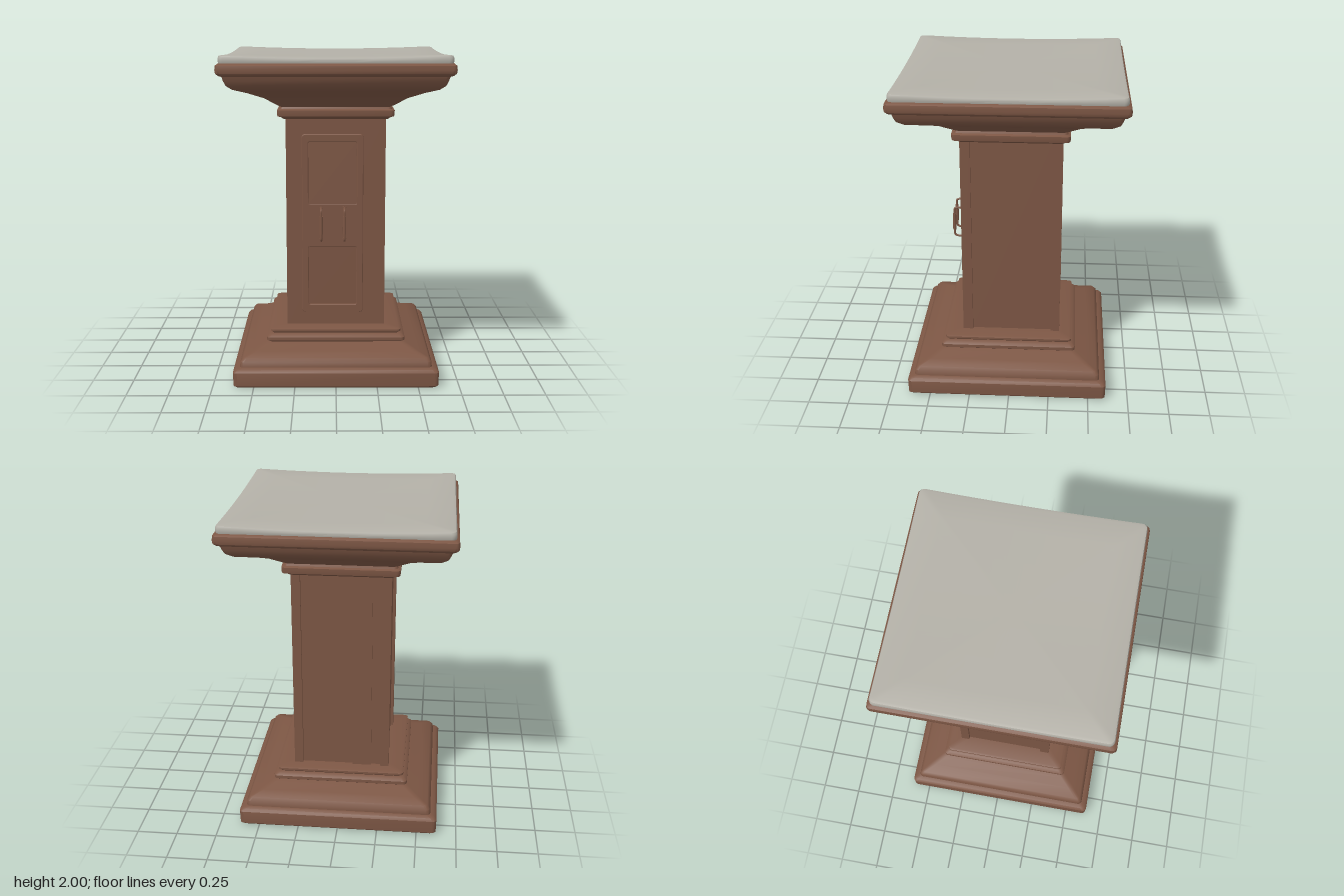
import * as THREE from 'three';
import { toCreasedNormals } from 'three/addons/utils/BufferGeometryUtils.js';

const wood = new THREE.MeshStandardMaterial({ color: 0x7c5644 });
wood.name = 'brown wood';
const stone = new THREE.MeshStandardMaterial({ color: 0xb3b0a7 });
stone.name = 'pale stone';

// Outline of a rounded square, counter-clockwise seen from above
function ring(half, radius, perSide) {
  const r = Math.min(radius, half * 0.5), pts = [];
  for (let s = 0; s < 4; s++) {
    const a0 = s * Math.PI / 2, c = Math.cos(a0), d = Math.sin(a0);
    const put = (u, v) => pts.push([u * c - v * d, -(u * d + v * c)]);
    for (let i = 0; i < perSide; i++) put(half, (half - r) * (-1 + 2 * i / perSide));
    for (let i = 0; i <= 4; i++) {
      const a = i * Math.PI / 8;
      put(half - r + r * Math.cos(a), half - r + r * Math.sin(a));
    }
  }
  return pts;
}

// Square moulding swept through a [half width, height] profile
function moulding(profile, radius = 0.025, perSide = 1, rule = null) {
  const pos = [], idx = [];
  const rings = profile.map(([h]) => ring(h, radius, perSide));
  const n = rings[0].length;
  rings.forEach((pts, j) => pts.forEach(([x, z]) => {
    const y = profile[j][1];
    pos.push(x, rule ? rule(x, y, z) : y, z);
  }));
  for (let j = 0; j < rings.length - 1; j++) {
    for (let i = 0; i < n; i++) {
      const k = (i + 1) % n, a = j * n + i, b = j * n + k;
      idx.push(a, b, b + n, a, b + n, a + n);
    }
  }
  const g = new THREE.BufferGeometry();
  g.setAttribute('position', new THREE.Float32BufferAttribute(pos, 3));
  g.setIndex(idx);
  return toCreasedNormals(g, 0.7);
}

function roundedRect(target, x0, x1, y0, y1, r) {
  target.moveTo(x0 + r, y0);
  target.lineTo(x1 - r, y0); target.quadraticCurveTo(x1, y0, x1, y0 + r);
  target.lineTo(x1, y1 - r); target.quadraticCurveTo(x1, y1, x1 - r, y1);
  target.lineTo(x0 + r, y1); target.quadraticCurveTo(x0, y1, x0, y1 - r);
  target.lineTo(x0, y0 + r); target.quadraticCurveTo(x0, y0, x0 + r, y0);
  return target;
}

export function createModel() {
  const model = new THREE.Group();
  model.name = 'pedestal';
  const add = (name, geo, mat = wood, parent = model) => {
    const m = new THREE.Mesh(geo, mat);
    m.name = name;
    parent.add(m);
    return m;
  };
  // Box given by its limits
  const block = (name, x0, x1, y0, y1, z0, z1) => {
    const m = add(name, new THREE.BoxGeometry(x1 - x0, y1 - y0, z1 - z0));
    m.position.set((x0 + x1) / 2, (y0 + y1) / 2, (z0 + z1) / 2);
  };

  // Hollow stepped base: up the opening's inner wall and outside mouldings
  add('base', moulding([
    [0.25, 0.3], [0.26, 0.22], [0.29, 0.2], [0.3, 0.1], [0.325, 0.08], [0.335, 0],
    [0.61, 0], [0.623, 0.012], [0.625, 0.095], [0.612, 0.112], [0.585, 0.118],
    [0.582, 0.15], [0.565, 0.172], [0.5, 0.192], [0.44, 0.218], [0.415, 0.226],
    [0.428, 0.235], [0.428, 0.255], [0.41, 0.272], [0.392, 0.275],
    [0.403, 0.285], [0.403, 0.298], [0.39, 0.304], [0.25, 0.304],
  ])).position.z = 0.015;

  // Column: flush front, recessed sides and back between corner posts
  const y0 = 0.29, y1 = 1.62;
  block('columnFront', -0.305, 0.305, y0, y1, 0.25, 0.312);
  for (const s of [-1, 1]) {
    const span = (a, b) => (s > 0 ? [a, b] : [-b, -a]);
    block('backPost', ...span(0.25, 0.305), y0, y1, -0.31, -0.255);
    block('sidePanel', ...span(0.26, 0.287), y0, y1, -0.26, 0.255);
  }
  block('backPanel', -0.255, 0.255, y0, y1, -0.288, -0.255);
  block('backStrip', -0.19, -0.07, y0, y1, -0.303, -0.28);

  // Door with two recessed, slightly tilted panels
  const door = new THREE.Group();
  door.name = 'door';
  model.add(door);
  const frame = roundedRect(new THREE.Shape(), -0.205, 0.165, 0.385, 1.505, 0.02);
  for (const [a, b] of [[0.43, 0.81], [1.07, 1.465]]) {
    frame.holes.push(roundedRect(new THREE.Path(), -0.172, 0.132, a, b, 0.015));
  }
  add('doorFrame', new THREE.ExtrudeGeometry(frame, {
    depth: 0.014, bevelEnabled: true, bevelThickness: 0.006, bevelSize: 0.004, bevelSegments: 2, curveSegments: 4,
  }), wood, door).position.z = 0.308;
  for (const [y, tilt] of [[0.62, 1], [1.2675, -1]]) {
    const p = add('doorPanel', new THREE.BoxGeometry(0.31, 0.4, 0.008), wood, door);
    p.position.set(-0.02, y, 0.315);
    p.rotation.x = tilt * 0.03;
  }

  // Pair of pull handles
  for (const x of [-0.09, 0.053]) {
    const handle = new THREE.Group();
    handle.name = 'handle';
    handle.position.set(x, 0.953, 0);
    model.add(handle);
    const path = new THREE.CatmullRomCurve3([
      [-0.1, 0.32], [-0.1, 0.36], [-0.095, 0.377], [-0.08, 0.383],
      [0.08, 0.383], [0.095, 0.377], [0.1, 0.36], [0.1, 0.32],
    ].map(([y, z]) => new THREE.Vector3(0, y, z)), false, 'catmullrom', 0.2);
    add('handleBar', new THREE.TubeGeometry(path, 40, 0.007, 8), wood, handle);
    add('handleGrip', new THREE.CylinderGeometry(0.011, 0.011, 0.11, 10), wood, handle).position.z = 0.383;
    for (const s of [-1, 1]) {
      const foot = add('handleFoot', new THREE.CylinderGeometry(0.013, 0.013, 0.012, 10), wood, handle);
      foot.rotation.x = Math.PI / 2;
      foot.position.set(0, s * 0.1, 0.333);
    }
  }

  // Flared capital with neck moulding and rounded rim
  add('capital', moulding([
    [0.001, 1.6], [0.32, 1.6], [0.335, 1.612], [0.353, 1.618], [0.356, 1.635], [0.356, 1.655],
    [0.34, 1.662], [0.335, 1.675], [0.36, 1.69], [0.43, 1.735], [0.52, 1.772], [0.6, 1.798],
    [0.632, 1.822], [0.645, 1.85], [0.653, 1.875], [0.672, 1.882], [0.685, 1.895],
    [0.688, 1.915], [0.685, 1.94], [0.67, 1.952], [0.001, 1.952],
  ]));

  // Worn slab: the top edges sag slightly between the corners
  const sag = (x, y, z) => {
    if (y < 1.965) return y;
    const m = Math.min(Math.abs(x), Math.abs(z)) / 0.67;
    return y - 0.016 * (1 - m * m);
  };
  add('topSlab', moulding([
    [0.665, 1.945], [0.67, 1.96], [0.67, 1.985], [0.665, 1.996], [0.65, 2],
    [0.5, 2], [0.3, 2], [0.1, 2], [0.0005, 2],
  ], 0.03, 12, sag), stone);

  return model;
}
